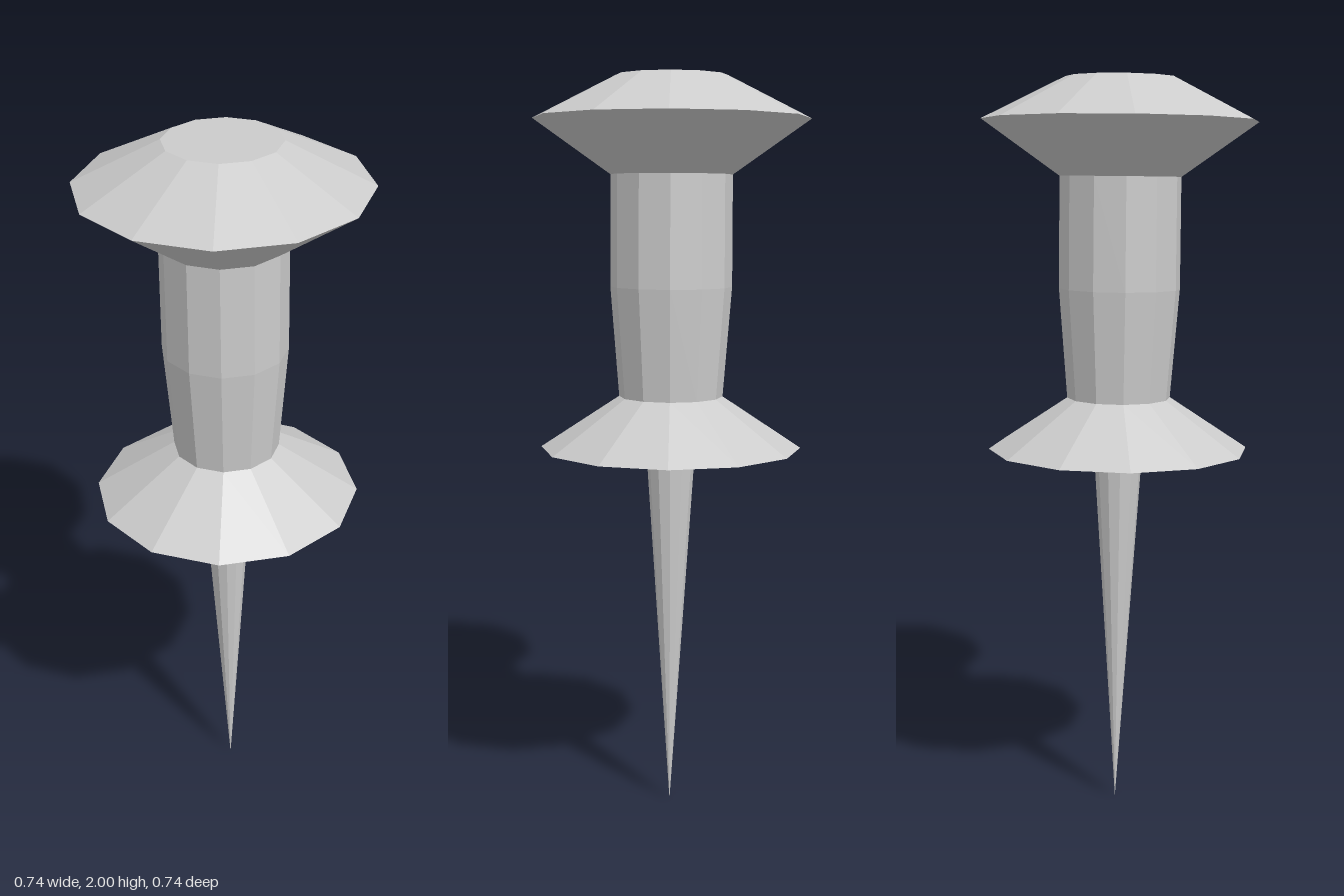
import * as THREE from 'three';

const SIDES = 12;

export function createModel() {
  const group = new THREE.Group();
  group.name = 'pushPin';
  const material = new THREE.MeshStandardMaterial({ color: 0xcccccc, flatShading: true });

  // Faceted turned part; profile of [radius, height] runs from bottom to top
  const turned = (name, profile) => {
    const points = profile.map(([r, y]) => new THREE.Vector2(r, y));
    const mesh = new THREE.Mesh(new THREE.LatheGeometry(points, SIDES), material);
    mesh.name = name;
    pin.add(mesh);
  };

  // The whole pin leans very slightly about its tip
  const pin = new THREE.Group();
  pin.name = 'leaningPin';
  pin.position.set(0.016, 0, -0.016);
  pin.rotation.set(0.009, 0, 0.009);
  group.add(pin);

  // Tapered needle
  turned('needle', [[0, 0], [0.065, 0.985]]);

  // Collar, waisted grip and flared head form one closed handle
  turned('handle', [
    [0, 0.98], [0.065, 0.98], [0.353, 1.015], // collar underside and rim
    [0.14, 1.155], [0.163, 1.45], [0.162, 1.745], // grip
    [0.368, 1.89], [0.147, 2], [0, 2], // head
  ]);

  return group;
}
